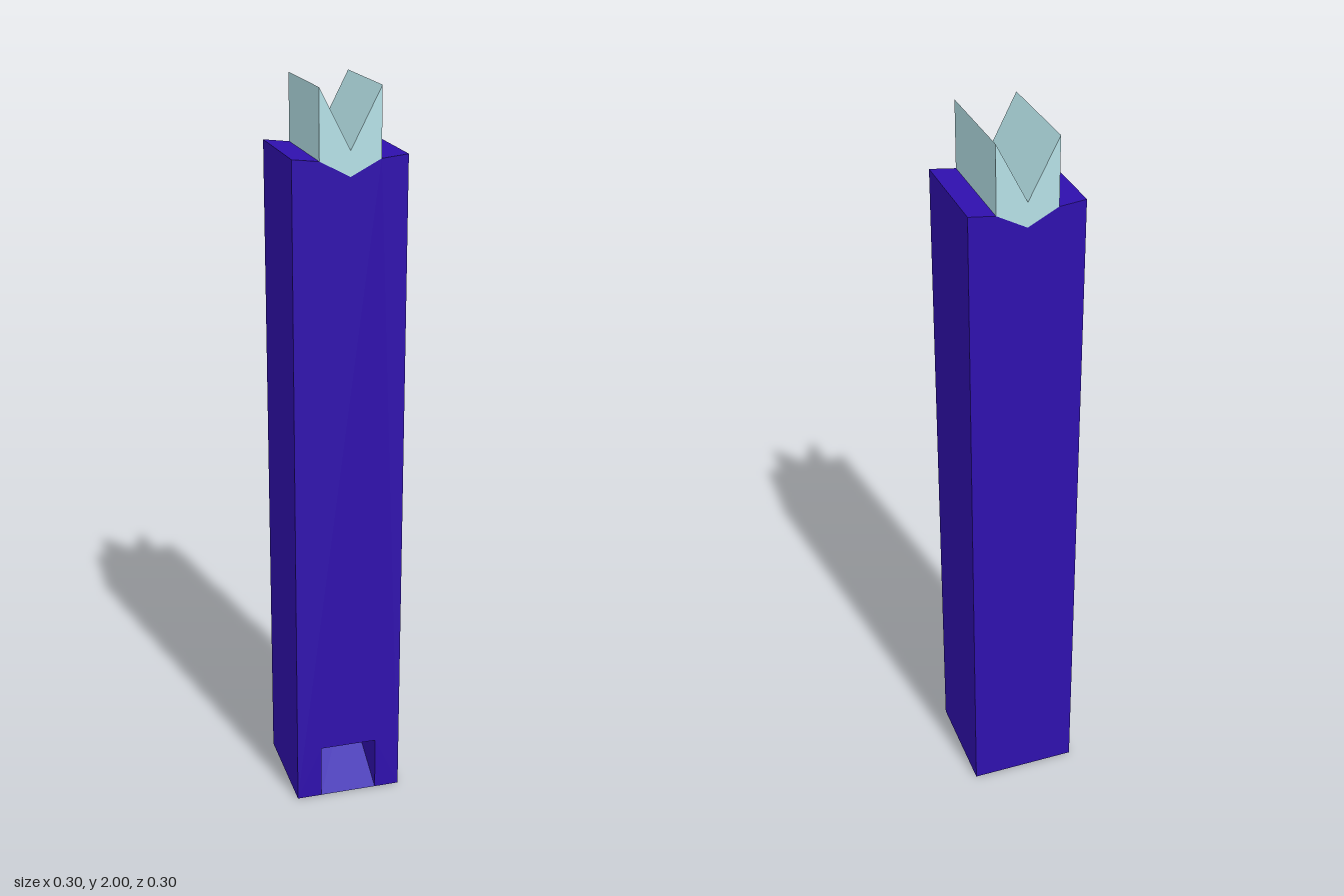
import * as THREE from 'three';

// Extrude a closed outline of [x, y] points, centred on its depth
function prism(name, points, depth, material) {
  const shape = new THREE.Shape(points.map(([x, y]) => new THREE.Vector2(x, y)));
  const geometry = new THREE.ExtrudeGeometry(shape, { depth, bevelEnabled: false });
  geometry.translate(0, 0, -depth / 2);
  const mesh = new THREE.Mesh(geometry, material);
  mesh.name = name;
  return mesh;
}

export function createModel() {
  const group = new THREE.Group();
  group.name = 'pillar';
  const half = 0.15, slot = 0.08, slotTop = 0.155;
  const purple = new THREE.MeshStandardMaterial({ color: 0x2f10ad, flatShading: true });
  const paleBlue = new THREE.MeshStandardMaterial({ color: 0xb5e0e6, flatShading: true });

  // Tall square shaft with a shallow V seat on top and a doorway at its foot
  group.add(prism('shaft', [
    [-half, 0], [-slot, 0], [-slot, slotTop], [slot, slotTop], [slot, 0], [half, 0],
    [half, 1.83], [slot, 1.822], [0, 1.78], [-slot, 1.822], [-half, 1.83],
  ], 2 * half, purple));

  // Sloping floor that closes the doorway towards the back
  const ramp = prism('doorwayRamp', [[-half, 0], [half, 0], [-half, slotTop]], 2 * slot, purple);
  ramp.geometry.rotateY(-Math.PI / 2);
  group.add(ramp);

  // Notched crown resting in the V seat
  group.add(prism('crown', [
    [0, 1.78], [slot, 1.822], [slot, 2], [0, 1.845], [-slot, 2], [-slot, 1.822],
  ], 2 * half, paleBlue));

  return group;
}
